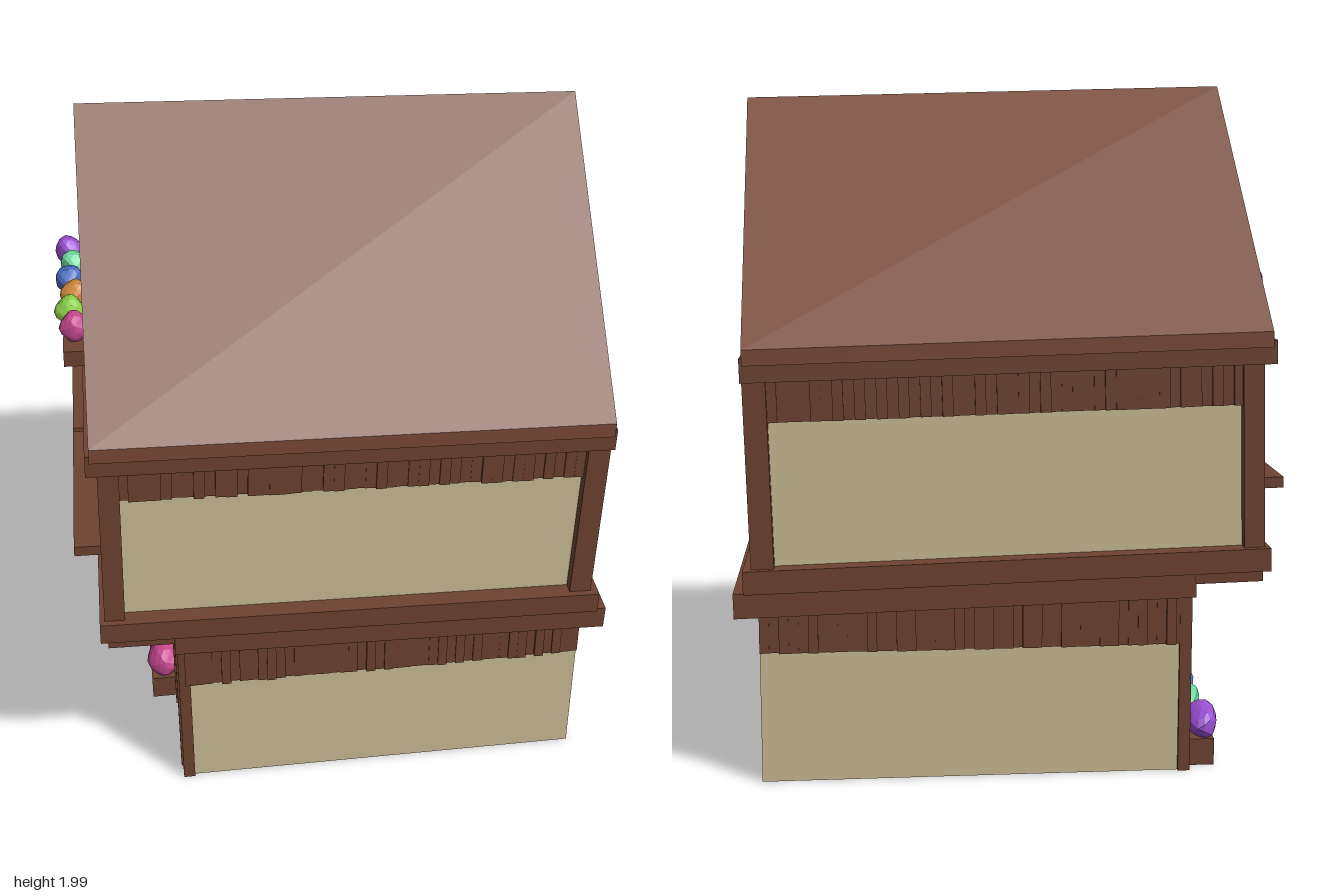
import * as THREE from 'three';

const mat = (color) => new THREE.MeshStandardMaterial({ color, flatShading: true });
const timber = mat(0x6e4331), roofing = mat(0x7a4a37), plaster = mat(0xcdbd96);
const glass = mat(0x64879a), doorWood = mat(0x603a2b);
const blooms = [0x9a4fd0, 0x6bd49a, 0x4a6fc0, 0xd08a3c, 0x8fd04a, 0xc84a90].map(mat);

let seed = 7;
const rand = () => (seed = (seed * 16807) % 2147483647) / 2147483647;

function add(parent, name, geometry, material) {
  const mesh = new THREE.Mesh(geometry, material);
  mesh.name = name;
  parent.add(mesh);
  return mesh;
}

// Box from its lower and upper limits on each axis
function box(parent, name, [x0, x1], [y0, y1], [z0, z1], material = timber) {
  const m = add(parent, name, new THREE.BoxGeometry(x1 - x0, y1 - y0, z1 - z0), material);
  m.position.set((x0 + x1) / 2, (y0 + y1) / 2, (z0 + z1) / 2);
  return m;
}

// Straight beam lying in a gable or facade plane, between two [z, y] points
function beam(parent, name, x, a, b, width = 0.035, depth = 0.03) {
  const dz = b[0] - a[0], dy = b[1] - a[1];
  const m = add(parent, name, new THREE.BoxGeometry(depth, width, Math.hypot(dz, dy)), timber);
  m.position.set(x, (a[1] + b[1]) / 2, (a[0] + b[0]) / 2);
  m.rotation.x = -Math.atan2(dy, dz);
}

// Closed [z, y] outline swept along x
function prism(parent, name, outline, x0, x1, material) {
  const shape = new THREE.Shape(outline.map(([z, y]) => new THREE.Vector2(-z, y)));
  const geo = new THREE.ExtrudeGeometry(shape, { depth: x1 - x0, bevelEnabled: false });
  geo.rotateY(Math.PI / 2).translate(x0, 0, 0);
  return add(parent, name, geo, material);
}

// Row of narrow boards of uneven depth hanging under a beam
function boards(parent, along, from, to, [y0, y1], face, dir) {
  const g = new THREE.Group();
  g.name = 'hangingBoards';
  parent.add(g);
  const n = 44, step = (to - from) / n;
  for (let i = 0; i < n; i++) {
    const out = face + dir * (0.008 + 0.014 * rand());
    const run = [from + i * step, from + (i + 1) * step];
    const thick = [Math.min(face - dir * 0.03, out), Math.max(face - dir * 0.03, out)];
    if (along === 'x') box(g, 'board', run, [y0, y1], thick);
    else box(g, 'board', thick, [y0, y1], run);
  }
}

// Leaded window on the -x facade
function latticeWindow(parent, x, [z0, z1], [y0, y1], cols, rows, inside) {
  const g = new THREE.Group();
  g.name = 'window';
  parent.add(g);
  box(g, 'glass', [x - 0.004, x + 0.002], [y0, y1], [z0, z1], glass);
  const t = 0.006, xs = [x - 0.014, x + inside];
  for (let i = 0; i <= cols; i++) {
    const z = z0 + (z1 - z0) * i / cols;
    box(g, 'upright', xs, [y0, y1], [z - t, z + t]);
  }
  for (let i = 0; i <= rows; i++) {
    const y = y0 + (y1 - y0) * i / rows;
    box(g, 'crossbar', xs, [y - t, y + t], [z0, z1]);
  }
}

// Lumpy flower heads in a line along z
function flowers(parent, x, y, z0, z1, r, stretch) {
  blooms.forEach((material, i) => {
    const geo = new THREE.IcosahedronGeometry(r, 2);
    const p = geo.attributes.position, v = new THREE.Vector3();
    for (let k = 0; k < p.count; k++) {
      v.fromBufferAttribute(p, k);
      const s = 1 + 0.08 * Math.sin(v.x * 3.1 / r + i) * Math.cos(v.y * 4 / r) + 0.06 * Math.sin(v.z * 5 / r);
      p.setXYZ(k, v.x * s, v.y * s, v.z * s);
    }
    geo.computeVertexNormals();
    const m = add(parent, 'flowers', geo, material);
    m.position.set(x + (i % 2 ? 0.01 : -0.005), y, z0 + (z1 - z0) * i / 5);
    m.scale.z = stretch;
  });
}

function groundFloor() {
  const g = new THREE.Group();
  g.name = 'groundFloor';
  const h = [0, 0.53];
  // Walls, open underneath
  for (const s of [-1, 1]) {
    box(g, 'sideWall', [-0.5, 0.72], h, s > 0 ? [0.675, 0.69] : [-0.69, -0.675], plaster);
    box(g, 'cornerPost', [-0.52, -0.485], [0, 0.57], s > 0 ? [0.665, 0.7] : [-0.7, -0.665]);
    boards(g, 'x', -0.5, 0.72, [0.385, 0.53], s * 0.69, s);
  }
  box(g, 'endWall', [0.705, 0.72], h, [-0.69, 0.69], plaster);
  box(g, 'facadeWall', [-0.5, -0.485], h, [-0.69, 0.69], plaster);
  latticeWindow(g, -0.502, [-0.6, -0.22], [0.1, 0.48], 5, 5, 0.03);
  latticeWindow(g, -0.502, [-0.1, 0.28], [0.1, 0.48], 5, 5, 0.03);
  // Plank door with its frame
  for (let i = 0; i < 5; i++) {
    const z = 0.36 + i * 0.052;
    box(g, 'doorPlank', [-0.512 - (i % 2) * 0.004, -0.47], [0, 0.46], [z, z + 0.05], doorWood);
  }
  for (const z of [0.33, 0.62]) box(g, 'doorFrame', [-0.525, -0.475], [0, 0.49], [z, z + 0.03]);
  box(g, 'doorFrame', [-0.525, -0.475], [0.46, 0.49], [0.33, 0.65]);
  box(g, 'planter', [-0.6, -0.5], [0, 0.08], [-0.66, 0.32]);
  flowers(g, -0.565, 0.115, -0.59, 0.25, 0.052, 1.5);
  return g;
}

function upperFloor(g) {
  box(g, 'lowerBeam', [-0.54, 0.775], [0.513, 0.585], [-0.72, 0.72]);
  box(g, 'jettyFloor', [-0.735, -0.5], [0.551, 0.59], [-0.715, 0.715]);
  box(g, 'floorBeam', [-0.757, 0.745], [0.583, 0.65], [-0.73, 0.73]);
  box(g, 'upperWalls', [-0.71, 0.685], [0.64, 1.2], [-0.675, 0.675], plaster);
  box(g, 'eaveBeam', [-0.774, 0.725], [1.182, 1.25], [-0.735, 0.735]);
  for (const z of [[-0.71, -0.65], [0.65, 0.71]])
    for (const x of [[-0.743, -0.683], [0.657, 0.722]]) box(g, 'cornerPost', x, [0.64, 1.19], z);
  for (const s of [-1, 1]) boards(g, 'x', -0.69, 0.66, [1.062, 1.19], s * 0.675, s);
  boards(g, 'z', -0.65, 0.65, [1.062, 1.19], 0.685, 1);

  // Timbered facade: two windows over sills, with braces around them
  box(g, 'middlePost', [-0.735, -0.7], [0.64, 1.19], [-0.03, 0.02]);
  box(g, 'headRail', [-0.735, -0.7], [1.11, 1.15], [-0.66, 0.66]);
  for (const [a, b] of [[-0.61, -0.05], [-0.03, 0.585]]) {
    const w = [a + 0.09, b - 0.07];
    latticeWindow(g, -0.712, w, [0.83, 1.11], 6, 5, 0.002);
    box(g, 'windowSill', [-0.822, -0.7], [0.8, 0.832], [a, b]);
    for (const z of [a + 0.08, b - 0.08]) {
      const bracket = box(g, 'sillBracket', [-0.795, -0.7], [0.768, 0.786], [z - 0.012, z + 0.012]);
      bracket.rotation.z = -0.5;
    }
    const mid = (a + b) / 2;
    beam(g, 'brace', -0.717, [a, 0.65], [mid, 0.8]);
    beam(g, 'brace', -0.717, [b, 0.65], [mid, 0.8]);
    for (const [p, q] of [[a - 0.02, w[0]], [w[1], b + 0.02]]) {
      beam(g, 'crossBrace', -0.717, [p, 0.83], [q, 1.12], 0.025);
      beam(g, 'crossBrace', -0.72, [q, 0.83], [p, 1.12], 0.025);
    }
  }
}

function roof(g) {
  const chevron = (top, eave, half, t) => [[0, top], [half, eave], [half, eave - t], [0, top - t],
    [-half, eave - t], [-half, eave]].reverse();
  prism(g, 'roof', chevron(1.975, 1.275, 0.74, 0.045), -0.762, 0.717, roofing);
  prism(g, 'rafters', chevron(1.935, 1.25, 0.722, 0.045), -0.75, 0.707, timber);
  prism(g, 'gableWall', [[0.69, 1.24], [0, 1.9], [-0.69, 1.24]].reverse(), -0.725, 0.68, plaster);
  for (const s of [-1, 1]) {
    // Plain gable
    beam(g, 'gableBrace', 0.69, [0, 1.655], [s * 0.225, 1.325]);
    // Timbered gable
    beam(g, 'gableBrace', -0.735, [0, 1.7], [s * 0.27, 1.25], 0.04);
    beam(g, 'gableStrut', -0.733, [s * 0.2, 1.36], [s * 0.42, 1.46], 0.03);
    beam(g, 'gableStrut', -0.733, [s * 0.08, 1.57], [s * 0.24, 1.64], 0.03);
  }
  beam(g, 'kingPost', -0.733, [0, 1.68], [0, 1.88], 0.03);
  prism(g, 'gableWindow', [[0.23, 1.26], [0, 1.64], [-0.23, 1.26]].reverse(), -0.73, -0.72, glass);
  box(g, 'flowerBox', [-0.825, -0.72], [1.29, 1.34], [-0.34, 0.32]);
  flowers(g, -0.8, 1.378, -0.26, 0.235, 0.042, 1.2);
}

export function createModel() {
  const model = new THREE.Group();
  model.name = 'timberHouse';
  model.add(groundFloor());
  // The upper storey and roof lean slightly
  const top = new THREE.Group();
  top.name = 'leaningUpperHouse';
  upperFloor(top);
  roof(top);
  top.rotation.z = -0.026;
  model.add(top);
  return model;
}
